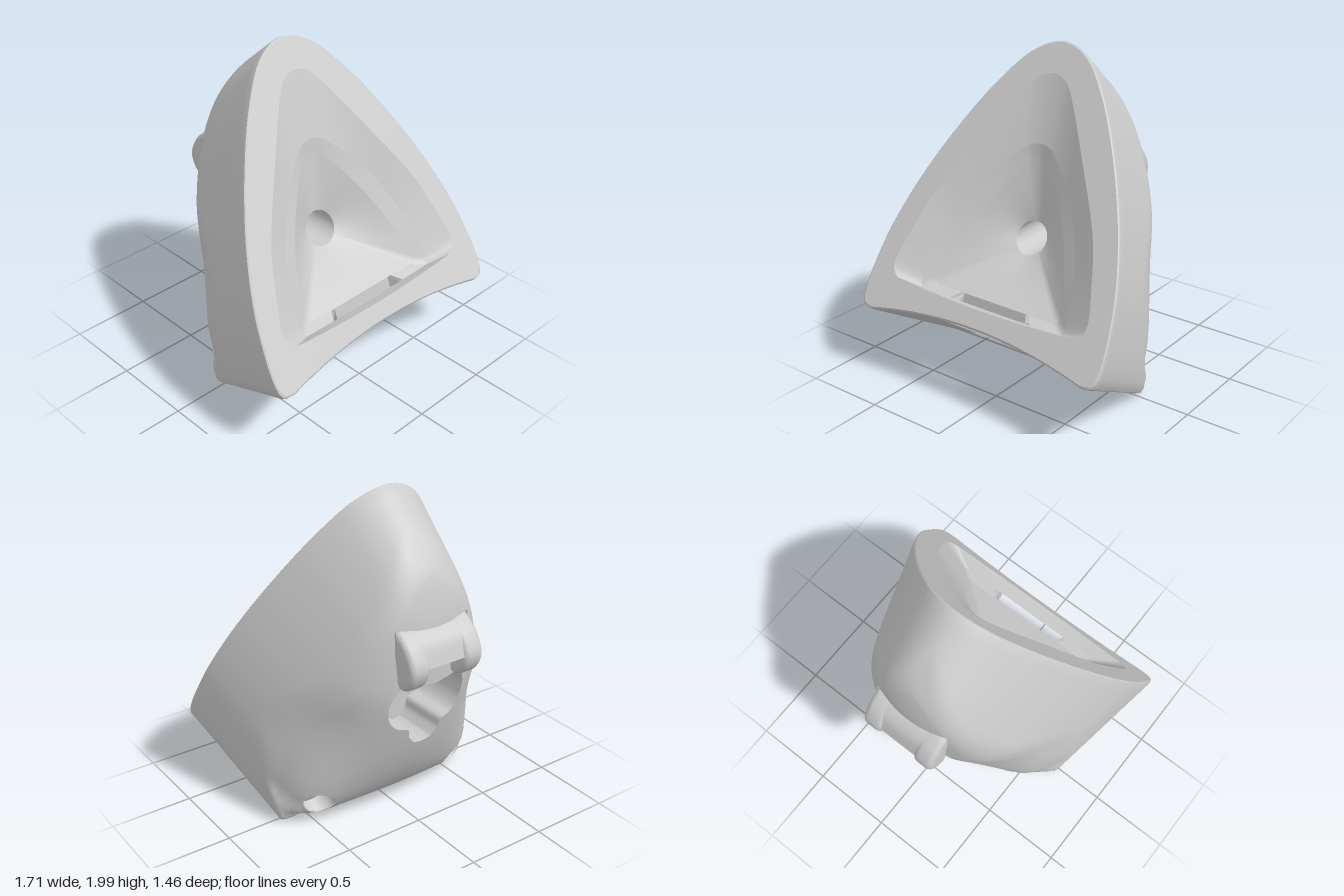
import * as THREE from 'three';
import { toCreasedNormals } from 'three/addons/utils/BufferGeometryUtils.js';

const V = (x, y, z) => new THREE.Vector3(x, y, z);
const { lerp, clamp, smoothstep } = THREE.MathUtils;
const C30 = Math.cos(Math.PI / 6), S30 = 0.5;
const FRONT = 0.86;                        // depth of the front rim, in the tilted frame
const SCREW = { x: 0.5, y: 0.243, r: 0.09 };
const SLOT_X = 0.265;

// Symmetric closed loop: a spline down one side, a sagging bottom edge, then the mirror image.
function loop(side, middleY, z) {
  const half = new THREE.SplineCurve(side.map(p => new THREE.Vector2(...p))).getSpacedPoints(64);
  const end = half[64].clone();
  for (const f of [0.94, 0.88, 0.82, 0.76, 0.7, 0.64, 0.58, 0.52, 0.416, 0.351, 0.23, 0.11, 0])
    half.push(new THREE.Vector2(end.x * f, middleY + (end.y - middleY) * f * f));
  const mirrored = half.slice(1, -1).reverse().map(p => new THREE.Vector2(-p.x, p.y));
  return [...half, ...mirrored].map(p => V(p.x, p.y, z));
}

// Skin a list of closed loops, leaving out quads whose centre is rejected.
function loft(loops, skip = () => false, crease = 0.7) {
  const pos = [], n = loops[0].length;
  for (let k = 0; k + 1 < loops.length; k++)
    for (let i = 0; i < n; i++) {
      const j = (i + 1) % n;
      const a = loops[k][i], b = loops[k][j], c = loops[k + 1][i], d = loops[k + 1][j];
      if (skip(a.clone().add(b).add(c).add(d).multiplyScalar(0.25))) continue;
      for (const p of [a, b, c, b, d, c]) pos.push(p.x, p.y, p.z);
    }
  const g = new THREE.BufferGeometry();
  g.setAttribute('position', new THREE.Float32BufferAttribute(pos, 3));
  return toCreasedNormals(g, crease);
}

// Rounded back: a bowed centre line; round across the upper part, flat between the lower corners.
const backLine = new THREE.SplineCurve([
  [0, -0.025], [0.06, -0.035], [0.1, -0.055], [0.15, -0.115], [0.3, -0.165], [0.52, -0.18], [0.76, -0.156],
  [1, -0.1], [1.17, -0.03], [1.43, 0.117], [1.59, 0.248], [1.69, 0.366], [1.745, 0.477], [1.78, 0.62],
  [1.82, 0.8],
].map(p => new THREE.Vector2(...p))).getPoints(140);

function backZ(x, y) {
  let i = 1;
  while (i < backLine.length - 1 && backLine[i].x < y) i++;
  const a = backLine[i - 1], b = backLine[i];
  const t = clamp((y - a.x) / (b.x - a.x), 0, 1);
  const u = Math.min(Math.abs(x), 0.7);
  const low = 0.16 * (u / 0.66) ** 8 * smoothstep(y, 0.02, 0.25);
  const high = 0.85 * u ** 2 + 1.9 * u ** 6;
  return lerp(a.y, b.y, t) + lerp(low, high, smoothstep(y, 0.05, 0.9));
}

// Slide a point of the tilted frame horizontally to a given upright z.
function slideTo(p, z) {
  const y = C30 * p.y + S30 * p.z;
  return V(p.x, C30 * y - S30 * z, S30 * y + C30 * z);
}

const lerpLoop = (a, b, t) => a.map((p, i) => p.clone().lerp(b[i], t));

function housingParts() {
  const outline = loop([[0, 1.82], [0.06, 1.811], [0.12, 1.787], [0.18, 1.75], [0.25, 1.688], [0.35, 1.56],
    [0.465, 1.38], [0.61, 1.1], [0.73, 0.81], [0.815, 0.52], [0.855, 0.25], [0.858, 0.1], [0.835, 0.03],
    [0.77, 0.015]], 0.105, FRONT);
  const opening = loop([[0, 1.62], [0.07, 1.6], [0.15, 1.52], [0.34, 1.2], [0.56, 0.8], [0.66, 0.5],
    [0.695, 0.36], [0.69, 0.29], [0.64, 0.245]], 0.22, FRONT);
  const ledgeOuter = loop([[0, 1.226], [0.05, 1.215], [0.1, 1.185], [0.2, 1.08], [0.305, 0.94], [0.4, 0.77],
    [0.465, 0.6], [0.52, 0.31], [0.52, 0.25], [0.5, 0.235]], 0.23, 0.775);
  const ledgeInner = loop([[0, 1.148], [0.04, 1.137], [0.08, 1.105], [0.2, 0.94], [0.32, 0.72], [0.4, 0.51],
    [0.44, 0.34], [0.445, 0.3], [0.43, 0.28]], 0.28, 0.735);
  const pocket = loop([[0, 1.15], [0.18, 1.15], [0.25, 1.06], [0.25, 0.95], [0.2, 0.88], [0.12, 0.86],
    [0.1, 0.8], [0.06, 0.75]], 0.74, 0);
  pocket.forEach(p => { p.z = backZ(p.x, p.y); });

  // Walls taper towards the back until they meet the rounded rear
  const taper = (p, z) => V(p.x * (1 - 0.23 * (FRONT - z)), p.y * (1 - 0.1 * (FRONT - z)), z);
  const edge = outline.map(p => {
    let lo = -0.3, hi = FRONT;
    for (let k = 0; k < 40; k++) {
      const mid = (lo + hi) / 2, q = taper(p, mid);
      if (mid > backZ(q.x, q.y)) hi = mid; else lo = mid;
    }
    return taper(p, hi);
  });
  const onBack = (i, t) => {
    const p = edge[i].clone().lerp(pocket[i], t);
    p.z = backZ(p.x, p.y);
    return p;
  };

  // Rounding between walls and rear, tighter along the bottom
  const radius = outline.map(p => lerp(0.03, 0.12, smoothstep(p.y, 0.1, 0.7)));
  const start = edge.map((p, i) => radius[i] / p.distanceTo(pocket[i]));
  const walls = [0.84, 0.78, 0.66, 0.5, 0.3, 0.1, 0].map(z =>
    outline.map((p, i) => taper(p, Math.max(z, edge[i].z + radius[i]))));
  const rounding = edge.map((p, i) => new THREE.QuadraticBezierCurve3(
    taper(outline[i], p.z + radius[i]), p, onBack(i, start[i])));
  const back = [];
  for (let k = 0; k <= 6; k++) back.push(rounding.map(c => c.getPoint(k / 6)));
  for (let k = 1; k <= 40; k++) back.push(edge.map((_, i) => onBack(i, lerp(start[i], 1, k / 40))));

  // Round hole in the bottom of the funnel, running straight back into the pocket
  const centre = V(0, 0.7, 0.735);
  const hole = ledgeInner.map(p => {
    const q = p.clone().sub(centre).setLength(0.105).add(centre);
    q.z = 0.58;
    return q;
  });
  // Softened front edge
  const shrink = (s, z) => outline.map(p => V(p.x * s, 0.9 + (p.y - 0.9) * s, z));
  const rimOuter = shrink(0.984, FRONT);

  const inSlot = c => Math.abs(c.x) < SLOT_X && c.y < 0.35;
  const skipShell = c =>
    (inSlot(c) && c.y < 0.15 && ((c.z > 0.66 && c.z < 0.78) || (c.z > 0 && c.z < 0.1))) ||
    (c.z < 0 && Math.hypot(Math.abs(c.x) - SCREW.x, c.y - SCREW.y) < 1.2 * SCREW.r);
  return {
    shell: loft([rimOuter, shrink(0.995, 0.854), ...walls, ...back,
      pocket.map(p => slideTo(p, -0.22)), hole.map(p => slideTo(p, -0.22)), hole], skipShell),
    frontRim: loft([opening, rimOuter]),
    flare: loft([ledgeOuter, opening]),
    ledge: loft([ledgeInner, ledgeOuter], inSlot),
    funnel: loft([hole, lerpLoop(hole, ledgeInner, 0.33), lerpLoop(hole, ledgeInner, 0.67), ledgeInner]),
  };
}

// Counterbored screw hole with a collar that follows the back
function screwGeometry(side) {
  const cx = side * SCREW.x, floor = backZ(cx, SCREW.y) + 0.09;
  const ring = (r, z) => Array.from({ length: 40 }, (_, i) => {
    const a = i / 40 * Math.PI * 2;
    const x = cx + r * Math.sin(a), y = SCREW.y + r * Math.cos(a);
    return V(x, y, z === undefined ? backZ(x, y) - 0.003 : z);
  });
  return loft([ring(SCREW.r * 1.55), ring(SCREW.r * 1.25), ring(SCREW.r), ring(SCREW.r, floor),
    ring(0.04, floor), ring(0.04, floor + 0.07), ring(0, floor + 0.07)]);
}

// Strap slot walls: four-cornered loops going up from the underside
const slotLoop = (xa, ya, za, xb, yb, zb) =>
  [V(-xa, ya, za), V(xa, ya, za), V(xb, yb, zb), V(-xb, yb, zb)];

// Side profile (distance behind, height) pushed out along x
function profileGeometry(shape, x0, x1, bevel) {
  const g = new THREE.ExtrudeGeometry(shape, {
    depth: x1 - x0 - 2 * bevel, bevelEnabled: bevel > 0, bevelThickness: bevel, bevelSize: bevel,
    bevelOffset: -bevel, bevelSegments: 5, curveSegments: 12,
  });
  g.translate(0, 0, x0 + bevel).rotateY(Math.PI / 2);
  return toCreasedNormals(g, 0.7);
}

export function createModel() {
  const model = new THREE.Group();
  model.name = 'funnelHousing';
  const grey = new THREE.MeshStandardMaterial({ color: 0xcccccc, side: THREE.DoubleSide });
  grey.name = 'light grey';
  const add = (parent, name, geometry) => {
    const mesh = new THREE.Mesh(geometry, grey);
    mesh.name = name;
    parent.add(mesh);
  };

  // Housing, leaning back by thirty degrees
  const tilted = new THREE.Group();
  tilted.name = 'housing';
  tilted.rotation.x = -Math.PI / 6;
  model.add(tilted);
  for (const [name, geometry] of Object.entries(housingParts())) add(tilted, name, geometry);
  add(tilted, 'leftScrewHole', screwGeometry(1));
  add(tilted, 'rightScrewHole', screwGeometry(-1));
  add(tilted, 'frontStrapSlot', loft([
    slotLoop(0.262, 0.092, 0.78, 0.258, 0.09, 0.66), slotLoop(0.26, 0.231, 0.775, 0.224, 0.28, 0.735)]));
  add(tilted, 'rearStrapSlot', loft([
    slotLoop(0.264, 0.085, 0.1, 0.258, 0.083, 0), slotLoop(0.26, 0.2, 0.14, 0.26, 0.2, 0.04),
    slotLoop(0, 0.2, 0.09, 0, 0.2, 0.09)]));

  // Cable hook on the back: two lugs joined by a bridge
  const hook = new THREE.Group();
  hook.name = 'hook';
  model.add(hook);
  const lug = new THREE.Shape();
  lug.moveTo(0.545, 1.345);
  lug.splineThru([[0.6, 1.325], [0.68, 1.255], [0.73, 1.15], [0.705, 1.06], [0.64, 1.005], [0.585, 1.02],
    [0.565, 1.12], [0.535, 1.28], [0.545, 1.345]].map(p => new THREE.Vector2(...p)));
  add(hook, 'leftLug', profileGeometry(lug, 0.115, 0.245, 0.035));
  add(hook, 'rightLug', profileGeometry(lug, -0.245, -0.115, 0.035));
  const bridge = new THREE.Shape();
  bridge.moveTo(0.55, 1.335);
  bridge.splineThru([[0.61, 1.318], [0.675, 1.25], [0.715, 1.14]].map(p => new THREE.Vector2(...p)));
  bridge.lineTo(0.665, 1.13);
  bridge.splineThru([[0.63, 1.21], [0.55, 1.27]].map(p => new THREE.Vector2(...p)));
  add(hook, 'bridge', profileGeometry(bridge, -0.16, 0.16, 0));

  return model;
}
